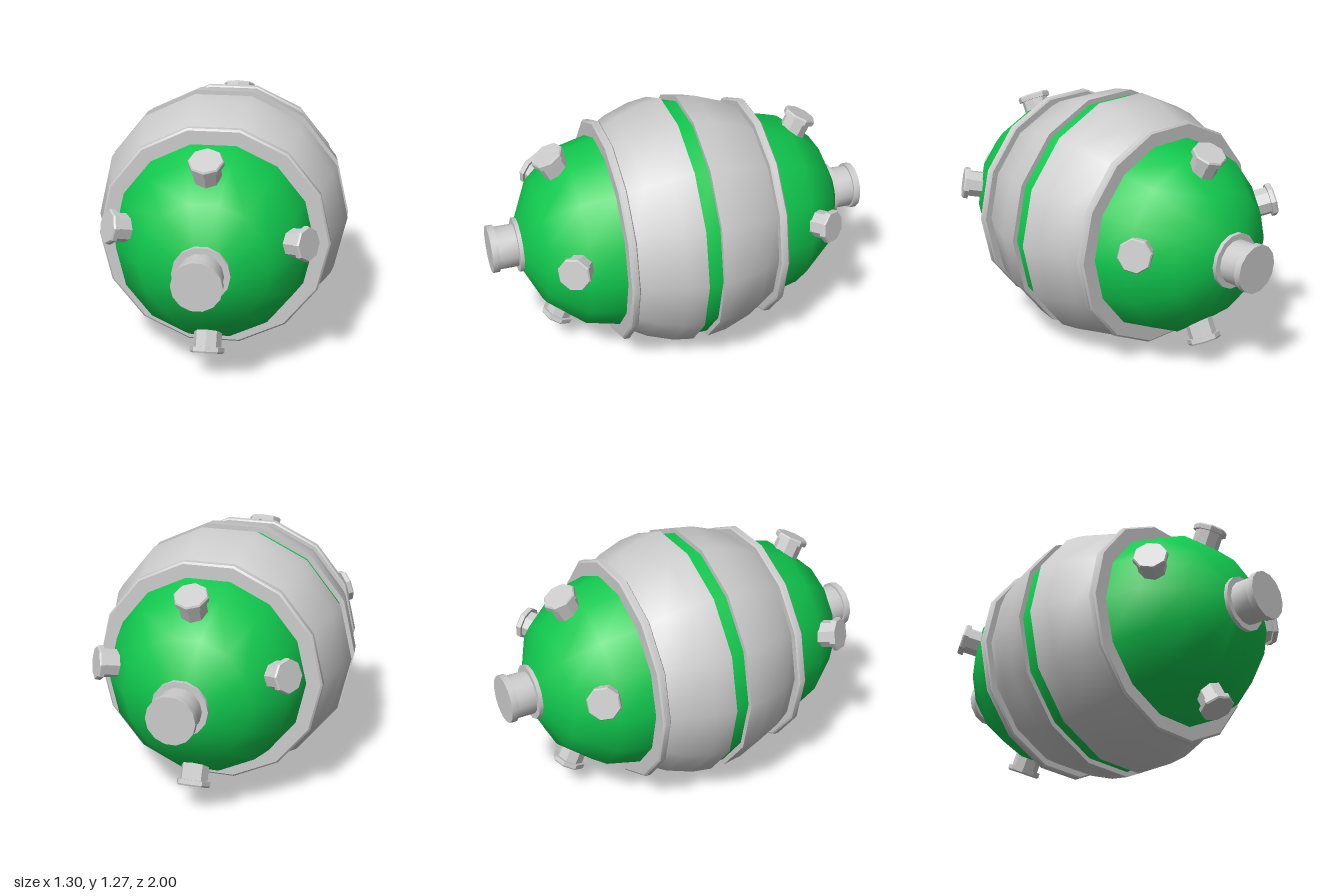
import * as THREE from 'three';
import { toCreasedNormals } from 'three/addons/utils/BufferGeometryUtils.js';

const CENTRE_Y = 0.634;
const SIDES = 14;
const grey = new THREE.MeshStandardMaterial({ color: 0xcccccc });
const green = new THREE.MeshStandardMaterial({ color: 0x10c84e });

// Turned solid from [radius, height] points, listed from low to high
function turned(points, sides, crease) {
  const profile = points.map(([r, h]) => new THREE.Vector2(r, h));
  return toCreasedNormals(new THREE.LatheGeometry(profile, sides, Math.PI / 2), crease);
}

// Points on a circle, angles in degrees from the equator
function arc(radius, offset, angles) {
  return angles.map((a) => {
    const t = THREE.MathUtils.degToRad(a);
    return [radius * Math.cos(t), offset + radius * Math.sin(t)];
  });
}

export function createModel() {
  const model = new THREE.Group();
  model.name = 'capsule';
  const body = new THREE.Group();
  body.name = 'body';
  body.position.y = CENTRE_Y;
  model.add(body);

  function add(name, geometry, material) {
    const mesh = new THREE.Mesh(geometry, material);
    mesh.name = name;
    body.add(mesh);
    return mesh;
  }

  // Hull part turned about the z axis; side -1 flips the profile to the back
  function hull(name, points, material, side = 1) {
    const p = side > 0 ? points : points.map(([r, h]) => [r, -h]).reverse();
    add(name, turned(p, SIDES, 0.6).rotateX(Math.PI / 2), material);
  }

  // Stepped fitting standing on the hull, pointing along a direction
  function fitting(name, points, sides, position, direction) {
    const mesh = add(name, turned(points, sides, 0.5), grey);
    mesh.position.copy(position);
    mesh.quaternion.setFromUnitVectors(new THREE.Vector3(0, 1, 0), direction);
  }

  // Central band showing between the two shells
  hull('centreBand', [[0.622, -0.06], [0.622, 0.06]], green);

  const endPort = [
    [0, -0.05], [0.14, -0.05], [0.14, 0.025], [0.11, 0.025],
    [0.11, 0.125], [0.122, 0.125], [0.122, 0.16], [0, 0.16],
  ];
  // Heights run from the buried neck up to the cap face at 0
  const smallPort = [
    [0, -0.15], [0.07, -0.15], [0.07, -0.03], [0.086, -0.03], [0.086, -0.008], [0.08, 0], [0, 0],
  ];
  // Angle round the hull and tilt toward the end, in degrees
  const smallPorts = [
    ['topPort', 90, 26], ['bottomPort', 270, 26], ['leftPort', 12, 33], ['rightPort', 163, 33],
  ];

  for (const side of [1, -1]) {
    const end = side > 0 ? 'front' : 'back';

    hull(end + 'Dome', [...arc(0.51, 0.36, [0, 25.71, 51.43, 77.14]), [0, 0.857]], green, side);
    hull(end + 'Shell', [
      [0.6, 0.04], ...arc(0.65, 0, [3.5, 12.86, 25.71, 34.5]), [0.48, 0.368],
    ], grey, side);
    hull(end + 'Flange', [
      [0.48, 0.366], [0.572, 0.366], [0.58, 0.372], [0.58, 0.4], [0.57, 0.408], [0.48, 0.408],
    ], grey, side);

    fitting(end + 'EndPort', endPort, SIDES,
      new THREE.Vector3(0, 0, side * 0.84), new THREE.Vector3(0, 0, side));

    for (const [name, around, tilt] of smallPorts) {
      const a = THREE.MathUtils.degToRad(around);
      const t = THREE.MathUtils.degToRad(tilt);
      const outward = new THREE.Vector3(Math.cos(a), Math.sin(a), 0);
      const position = outward.clone().multiplyScalar(0.5).setZ(side * 0.675);
      const direction = outward.multiplyScalar(Math.cos(t)).setZ(side * Math.sin(t));
      fitting(end + name[0].toUpperCase() + name.slice(1), smallPort, 8, position, direction);
    }
  }
  return model;
}
